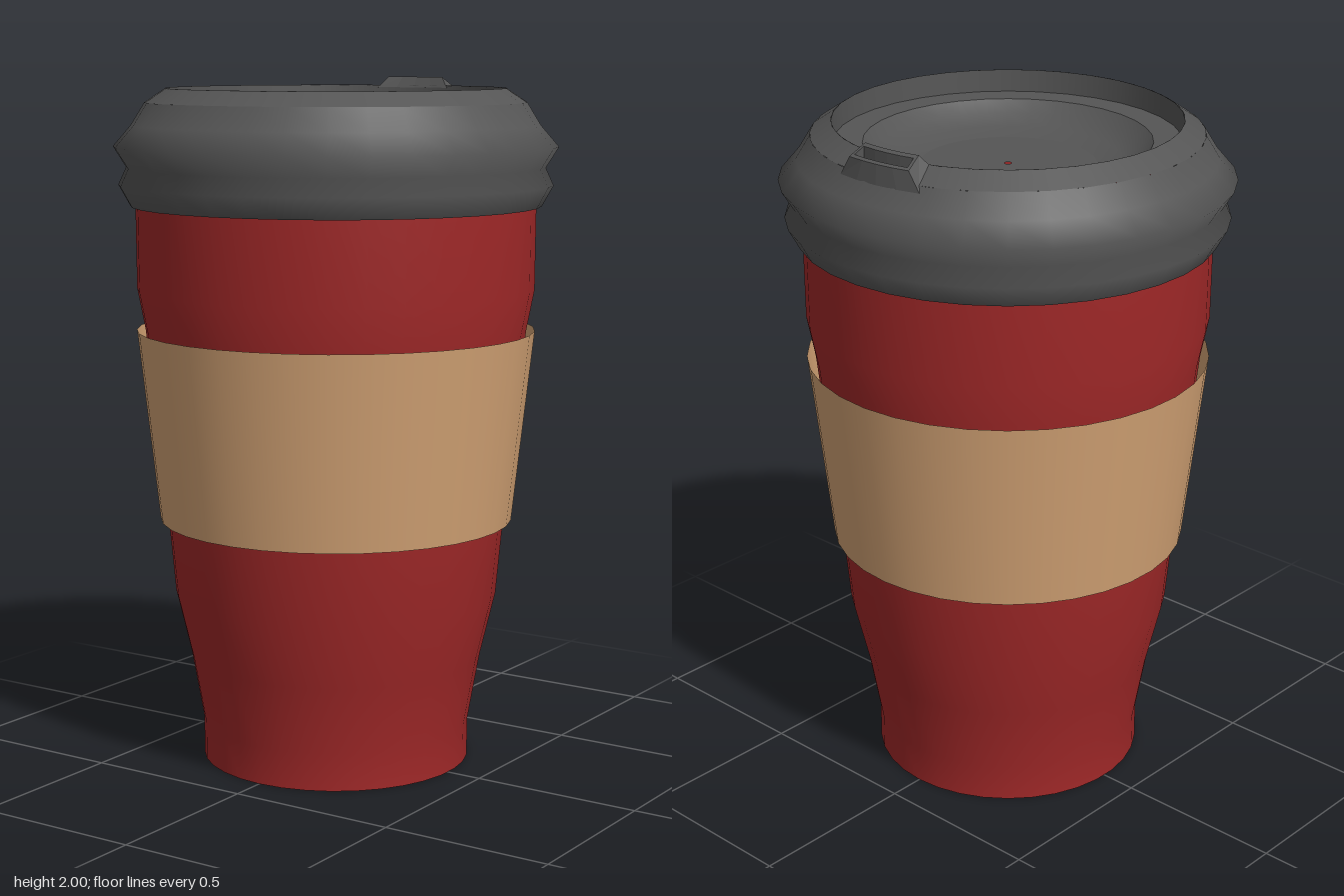
import * as THREE from 'three';

const SEGMENTS = 34;
const RED = 0xa02828, TAN = 0xd2a274, GREY = 0x555555;

function material(color, flatShading = false) {
  return new THREE.MeshStandardMaterial({ color, flatShading, side: THREE.DoubleSide });
}

// Turned surface; splitting a profile into several lathes keeps the edge between them sharp.
function lathe(name, mat, profile, start = 0, length = Math.PI * 2) {
  const points = profile.map(([r, y]) => new THREE.Vector2(r, y));
  const mesh = new THREE.Mesh(new THREE.LatheGeometry(points, SEGMENTS, start, length), mat);
  mesh.name = name;
  return mesh;
}

// One closed loop around the drinking slot: inner arc one way, outer arc back.
function slotLoop(center, { half, inner, outer }, steps) {
  const loop = [];
  for (const [[r, y], dir] of [[inner, 1], [outer, -1]]) {
    for (let i = 0; i <= steps; i++) {
      const a = center + dir * half * ((2 * i) / steps - 1);
      loop.push([r * Math.sin(a), y, r * Math.cos(a)]);
    }
  }
  return loop;
}

// Skin a series of loops with quads.
function skin(loops) {
  const n = loops[0].length, index = [];
  for (let k = 0; k < loops.length - 1; k++) {
    for (let i = 0; i < n; i++) {
      const j = (i + 1) % n;
      const a = k * n + i, b = k * n + j, c = a + n, d = b + n;
      index.push(a, c, b, b, c, d);
    }
  }
  const geometry = new THREE.BufferGeometry();
  geometry.setAttribute('position', new THREE.Float32BufferAttribute(loops.flat(2), 3));
  geometry.setIndex(index);
  const flat = geometry.toNonIndexed();
  flat.computeVertexNormals();
  return flat;
}

export function createModel() {
  const model = new THREE.Group();
  const red = material(RED), tan = material(TAN), grey = material(GREY);

  // Cup: open-topped thin wall and a flat base
  const cup = new THREE.Group();
  cup.name = 'cup';
  cup.add(
    lathe('cupBase', red, [[0, 0], [0.395, 0]]),
    lathe('cupWall', red, [
      [0.395, 0], [0.395, 0.11], [0.43, 0.31], [0.475, 0.5], [0.495, 0.72],
      [0.555, 1.28], [0.578, 1.4], [0.58, 1.7],
    ]),
  );

  // Cardboard sleeve
  const sleeve = lathe('sleeve', tan, [[0.518, 0.72], [0.58, 1.28]]);

  // Lid, with a gap in the shoulder where the drinking slot opens
  const slotCenter = Math.PI + 0.077, slotHalf = 0.173;
  const lid = new THREE.Group();
  lid.name = 'lid';
  lid.add(
    lathe('lidLip', grey, [[0.58, 1.64], [0.595, 1.64]]),
    lathe('lidSkirt', grey, [
      [0.595, 1.64], [0.628, 1.7], [0.605, 1.75], [0.642, 1.81], [0.59, 1.87], [0.55, 1.935],
    ]),
    lathe('lidShoulder', grey, [[0.55, 1.935], [0.49, 1.975]],
      slotCenter + slotHalf, Math.PI * 2 - 2 * slotHalf),
    lathe('lidRimWall', grey, [[0.49, 1.975], [0.487, 1.91]]),
    lathe('lidLedge', grey, [[0.487, 1.91], [0.405, 1.91]]),
    lathe('lidBowl', grey, [[0.405, 1.91], [0.37, 1.877], [0.32, 1.852], [0.25, 1.84]]),
    lathe('lidFloor', grey, [[0.25, 1.84], [0.01, 1.84]]),
  );

  // Raised spout framing the slot: base, crest, slot edge, slot wall
  const loops = [
    { half: 0.245, inner: [0.486, 1.968], outer: [0.56, 1.918] },
    { half: 0.185, inner: [0.5, 2.0], outer: [0.554, 1.973] },
    { half: 0.168, inner: [0.512, 1.994], outer: [0.544, 1.978] },
    { half: 0.168, inner: [0.512, 1.945], outer: [0.544, 1.925] },
  ].map((section) => slotLoop(slotCenter, section, 4));
  const spout = new THREE.Mesh(skin(loops), material(GREY, true));
  spout.name = 'spout';
  lid.add(spout);

  model.add(cup, sleeve, lid);
  return model;
}
